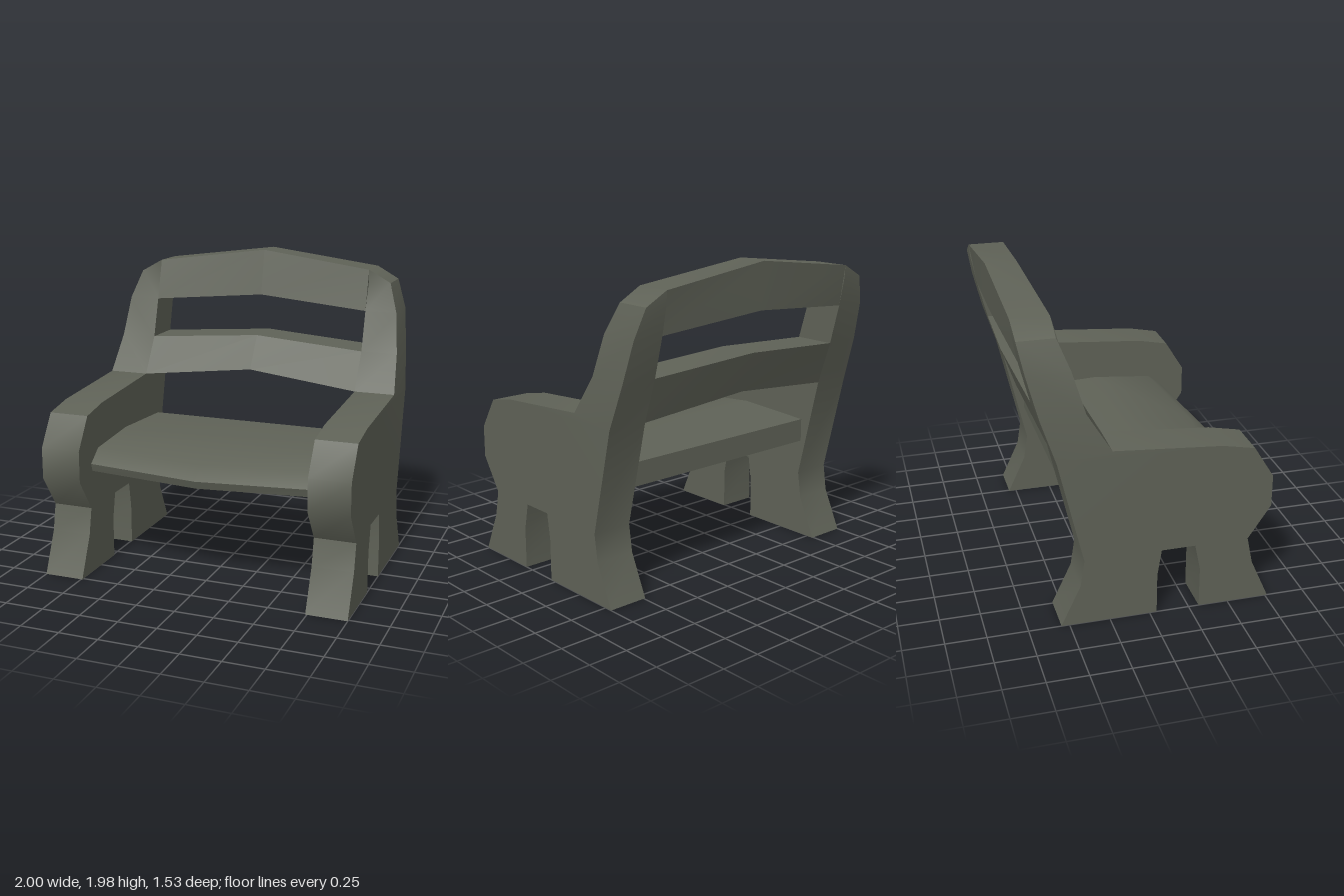
import * as THREE from 'three';
import { mergeGeometries, toCreasedNormals } from 'three/addons/utils/BufferGeometryUtils.js';

const CREASE = 0.66;

// Closed solid through matching loops of [x, y, z] points
function loft(sections) {
  const n = sections[0].length;
  const tris = [];
  for (let s = 0; s < sections.length - 1; s++) {
    const a = sections[s], b = sections[s + 1];
    for (let i = 0; i < n; i++) {
      const j = (i + 1) % n;
      tris.push([a[i], a[j], b[j]], [a[i], b[j], b[i]]);
    }
  }
  const first = sections[0], last = sections[sections.length - 1];
  for (let i = 1; i < n - 1; i++) {
    tris.push([first[0], first[i + 1], first[i]], [last[0], last[i], last[i + 1]]);
  }
  // turn the faces outward whichever way the loops run
  const v = p => new THREE.Vector3(...p);
  const volume = tris.reduce((sum, [a, b, c]) => sum + v(a).dot(v(b).cross(v(c))), 0);
  const points = tris.flatMap(([a, b, c]) => (volume < 0 ? [a, c, b] : [a, b, c])).flat();
  const geometry = new THREE.BufferGeometry();
  geometry.setAttribute('position', new THREE.Float32BufferAttribute(points, 3));
  return geometry;
}

// Solid spanning the panels: profiles of [z, y] at the ends and the middle
function crossRail(end, middle) {
  const at = (x, profile) => profile.map(([z, y]) => [x, y, z]);
  return loft([at(-0.74, end), at(0, middle), at(0.74, end)]);
}

// Legs and armrest in one flat profile, [z, y]
const armProfile = [
  [0.765, 0], [0.65, 0.26], [0.615, 0.43], [0.755, 0.64], [0.755, 0.84], [0.63, 1.04],
  [0.43, 1.08], [-0.235, 1.13], [-0.56, 1.09], [-0.405, 0.43], [-0.43, 0.26], [-0.55, 0],
  [0.045, 0], [0.045, 0.26], [0.07, 0.43], [0.28, 0.43], [0.315, 0.26], [0.315, 0],
];

// Back post rows: front z, front y, back z, back y, outer x
const postRows = [
  [-0.235, 1.13, -0.56, 1.09, 1], [-0.38, 1.366, -0.65, 1.366, 0.975],
  [-0.455, 1.62, -0.715, 1.62, 0.945], [-0.525, 1.8, -0.75, 1.8, 0.885],
  [-0.525, 1.88, -0.755, 1.88, 0.741],
];

function sidePanel(side) {
  const shape = new THREE.Shape(armProfile.map(([z, y]) => new THREE.Vector2(z, y)));
  const arm = new THREE.ExtrudeGeometry(shape, { depth: 0.26, bevelEnabled: false })
    .rotateY(-Math.PI / 2).translate(side > 0 ? 1 : -0.74, 0, 0);
  arm.deleteAttribute('uv');
  arm.deleteAttribute('normal');
  const post = loft(postRows.map(([fz, fy, bz, by, x]) => [
    [side * 0.74, fy, fz], [side * x, fy, fz], [side * x, by, bz], [side * 0.74, by, bz],
  ]));
  return mergeGeometries([arm.index ? arm.toNonIndexed() : arm, post]);
}

export function createModel() {
  const group = new THREE.Group();
  const paint = new THREE.MeshStandardMaterial({ color: 0x5f6257 });
  paint.name = 'greyGreen';

  const add = (name, geometry) => {
    const mesh = new THREE.Mesh(toCreasedNormals(geometry, CREASE), paint);
    mesh.name = name;
    group.add(mesh);
  };

  add('leftSidePanel', sidePanel(1));
  add('rightSidePanel', sidePanel(-1));

  add('topRail', crossRail(
    [[-0.525, 1.88], [-0.755, 1.88], [-0.715, 1.62], [-0.455, 1.62]],
    [[-0.57, 1.975], [-0.765, 1.975], [-0.75, 1.68], [-0.51, 1.68]],
  ));
  add('middleRail', crossRail(
    [[-0.38, 1.366], [-0.65, 1.366], [-0.56, 1.09], [-0.235, 1.13]],
    [[-0.43, 1.415], [-0.69, 1.415], [-0.6, 1.16], [-0.295, 1.205]],
  ));

  // Seat with a rolled front edge that bows forward
  add('seat', crossRail(
    [[0.585, 0.67], [0.6, 0.72], [0.5, 0.8], [0.1, 0.835], [-0.42, 0.81], [-0.42, 0.66], [0, 0.645]],
    [[0.655, 0.66], [0.675, 0.71], [0.57, 0.785], [0.1, 0.835], [-0.42, 0.81], [-0.42, 0.66], [0, 0.645]],
  ));

  return group;
}
